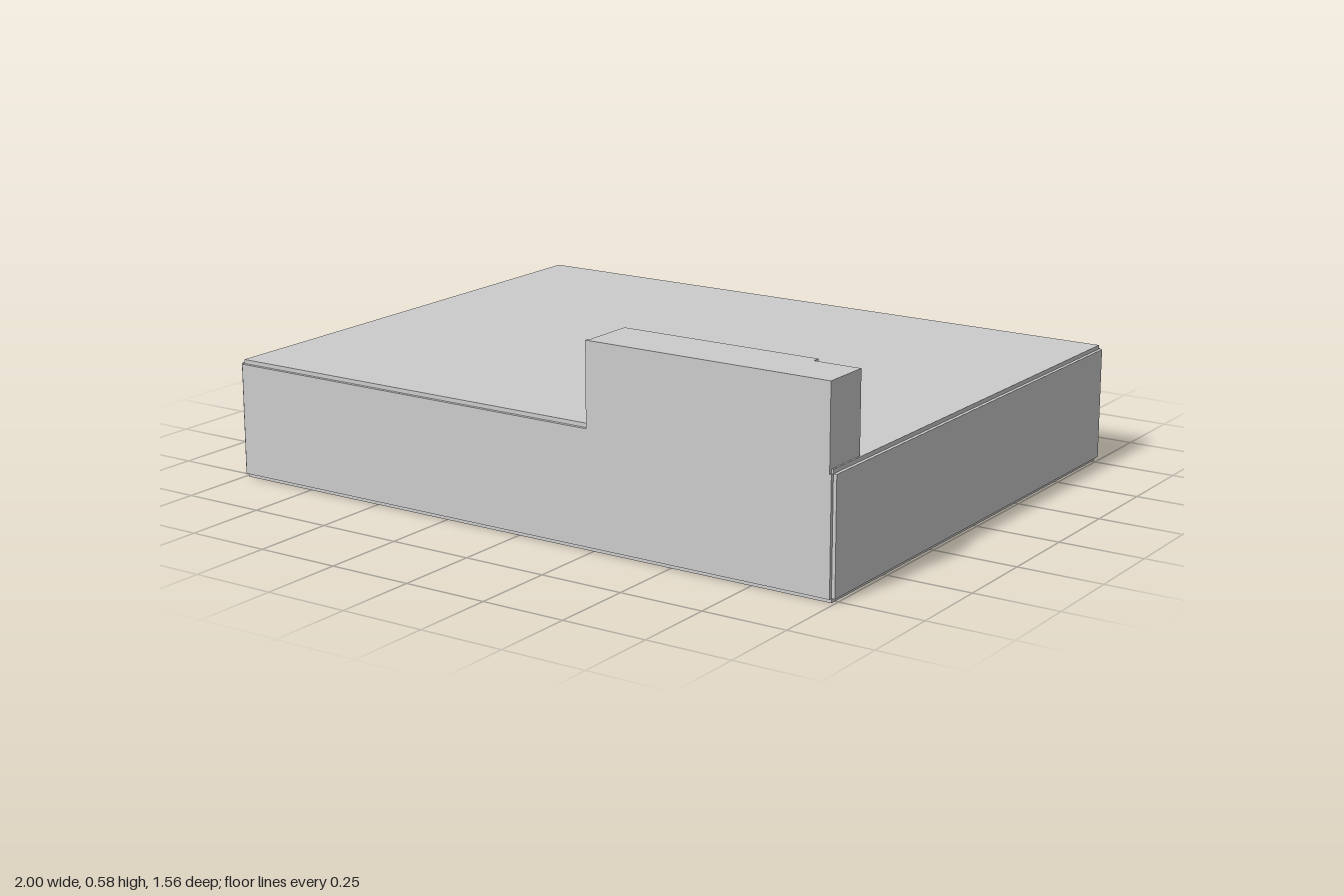
import * as THREE from 'three';

const material = new THREE.MeshStandardMaterial({ color: 0xcccccc, flatShading: true });

// Box given by its minimum and maximum corners
function block(name, [x0, y0, z0], [x1, y1, z1]) {
  const geo = new THREE.BoxGeometry(x1 - x0, y1 - y0, z1 - z0);
  geo.translate((x0 + x1) / 2, (y0 + y1) / 2, (z0 + z1) / 2);
  const mesh = new THREE.Mesh(geo, material);
  mesh.name = name;
  return mesh;
}

// Thin upright panel cut from an outline in x and y, starting at z
function panel(name, outline, z, depth) {
  const shape = new THREE.Shape(outline.map(([x, y]) => new THREE.Vector2(x, y)));
  const geo = new THREE.ExtrudeGeometry(shape, { depth, bevelEnabled: false });
  geo.translate(0, 0, z);
  const mesh = new THREE.Mesh(geo, material);
  mesh.name = name;
  return mesh;
}

export function createModel() {
  const model = new THREE.Group();
  model.name = 'building';

  const X = 0.99, Z = 0.768, T = 0.01; // core half sizes and cladding thickness
  const low = 0.012, high = 0.342, roof = 0.354, top = 0.584;

  // Main body with floor and flat roof
  model.add(block('core', [-X, 0, -Z], [X, roof, Z]));

  // Side walls
  for (const [name, s] of [['leftWall', 1], ['rightWall', -1]]) {
    const a = s * X, b = s * (X + T);
    model.add(block(name, [Math.min(a, b), low, -Z], [Math.max(a, b), high, Z]));
  }

  // Front wall rising into the raised facade
  model.add(panel('frontWall', [
    [-X, low], [X, low], [X, high], [0.985, high], [0.985, top], [0.235, top], [0.235, high], [-X, high],
  ], Z, T));

  // Back wall with a recessed doorway
  model.add(panel('backWall', [
    [-X, low], [0.36, low], [0.36, 0.24], [0.475, 0.24], [0.475, low], [X, low], [X, high], [-X, high],
  ], -Z - T, T));

  // Raised block behind the facade, stepped at its left end
  const raised = new THREE.Group();
  raised.name = 'raisedBlock';
  raised.add(
    block('raisedCore', [0.24, roof, 0.605], [0.845, top, Z]),
    block('raisedEnd', [0.845, roof, 0.628], [0.985, top, Z]),
    block('raisedBackPanel', [0.24, roof, 0.596], [0.845, top - T, 0.605]),
    block('raisedRightPanel', [0.231, roof, 0.605], [0.24, top - T, Z]),
    block('raisedStepPanel', [0.845, roof, 0.605], [0.853, top - T, 0.628]),
  );
  model.add(raised);
  return model;
}
